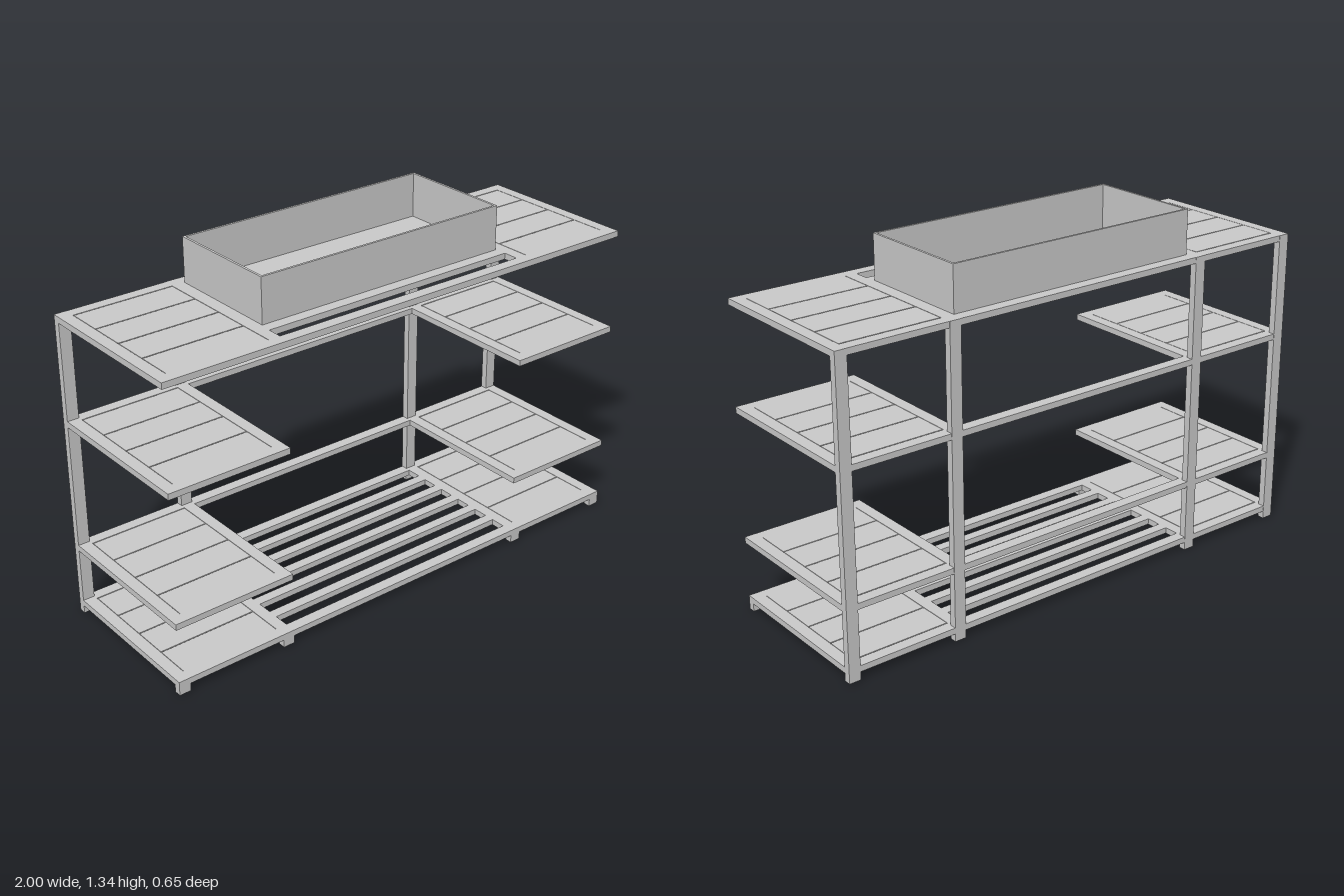
import * as THREE from 'three';

const mat = new THREE.MeshStandardMaterial({ color: 0xcccccc });
const W = 0.045;            // width of frame members
const T = 0.023;            // thickness of shelves
const Z = 0.323;            // half depth
const IN = 0.522, OUT = 1;  // inner and outer edge of a side bay
const LEVELS = [0.03, 0.262, 0.755, 1.143]; // undersides of the shelves

// Box given by its min and max along each axis
function bar(parent, name, x0, x1, y0, y1, z0, z1) {
  const m = new THREE.Mesh(new THREE.BoxGeometry(x1 - x0, y1 - y0, z1 - z0), mat);
  m.position.set((x0 + x1) / 2, (y0 + y1) / 2, (z0 + z1) / 2);
  m.name = name;
  parent.add(m);
}

// Side shelf: frame rails with four boards set flush between them
function sideShelf(side, y) {
  const g = new THREE.Group();
  g.name = side > 0 ? 'leftShelf' : 'rightShelf';
  const span = (a, b) => (side > 0 ? [a, b] : [-b, -a]);
  const zi = Z - W, gap = 0.004, pitch = (2 * zi) / 4;
  bar(g, 'innerRail', ...span(IN, IN + W), y, y + T, -zi, zi);
  bar(g, 'outerRail', ...span(OUT - W, OUT), y, y + T, -zi, zi);
  bar(g, 'frontRail', ...span(IN, OUT), y, y + T, zi, Z);
  for (let i = 0; i < 4; i++) {
    const z = -zi + i * pitch;
    bar(g, 'board', ...span(IN + W + gap / 2, OUT - W - gap / 2), y, y + T, z + gap, z + pitch);
  }
  return g;
}

export function createModel() {
  const model = new THREE.Group();
  model.name = 'shelfTable';
  const top = LEVELS[3] + T;

  for (const side of [-1, 1]) {
    for (const x of [IN + W / 2, OUT - W / 2]) {
      const c = side * x;
      bar(model, 'backPost', c - W / 2, c + W / 2, 0, top, -Z, -Z + 0.027);
      bar(model, 'frontFoot', c - W / 2, c + W / 2, 0, LEVELS[0], Z - 0.027, Z);
    }
    for (const y of LEVELS) model.add(sideShelf(side, y));
  }

  // Long rails: back at every level, front only at the bottom and top
  for (const y of LEVELS) bar(model, 'backRail', -OUT, OUT, y, y + T, -Z + 0.001, -Z + W);
  for (const y of [LEVELS[0], LEVELS[3]])
    bar(model, 'middleFrontRail', -IN, IN, y, y + T, Z - W, Z);

  // Open slats of the lower middle shelf
  const slat = 0.04, space = (2 * (Z - W) - 5 * slat) / 6;
  for (let i = 0; i < 5; i++) {
    const z = -Z + W + space + i * (slat + space);
    bar(model, 'bottomSlat', -IN, IN, LEVELS[0], LEVELS[0] + T, z, z + slat);
  }

  // Top middle: panel under the tray and the rail in front of it
  bar(model, 'trayPanel', -IN, IN, LEVELS[3], top, -Z + W, 0.175);
  bar(model, 'trayRail', -IN, IN, LEVELS[3], top, 0.175, 0.22);

  // Open tray
  const tray = new THREE.Group();
  tray.name = 'tray';
  const x = 0.517, z0 = -0.277, z1 = 0.175, t = 0.009, h = 1.335;
  bar(tray, 'trayBack', -x, x, top, h, z0, z0 + t);
  bar(tray, 'trayFront', -x, x, top, h, z1 - t, z1);
  bar(tray, 'trayRightEnd', -x, -x + t, top, h, z0 + t, z1 - t);
  bar(tray, 'trayLeftEnd', x - t, x, top, h, z0 + t, z1 - t);
  model.add(tray);

  return model;
}
